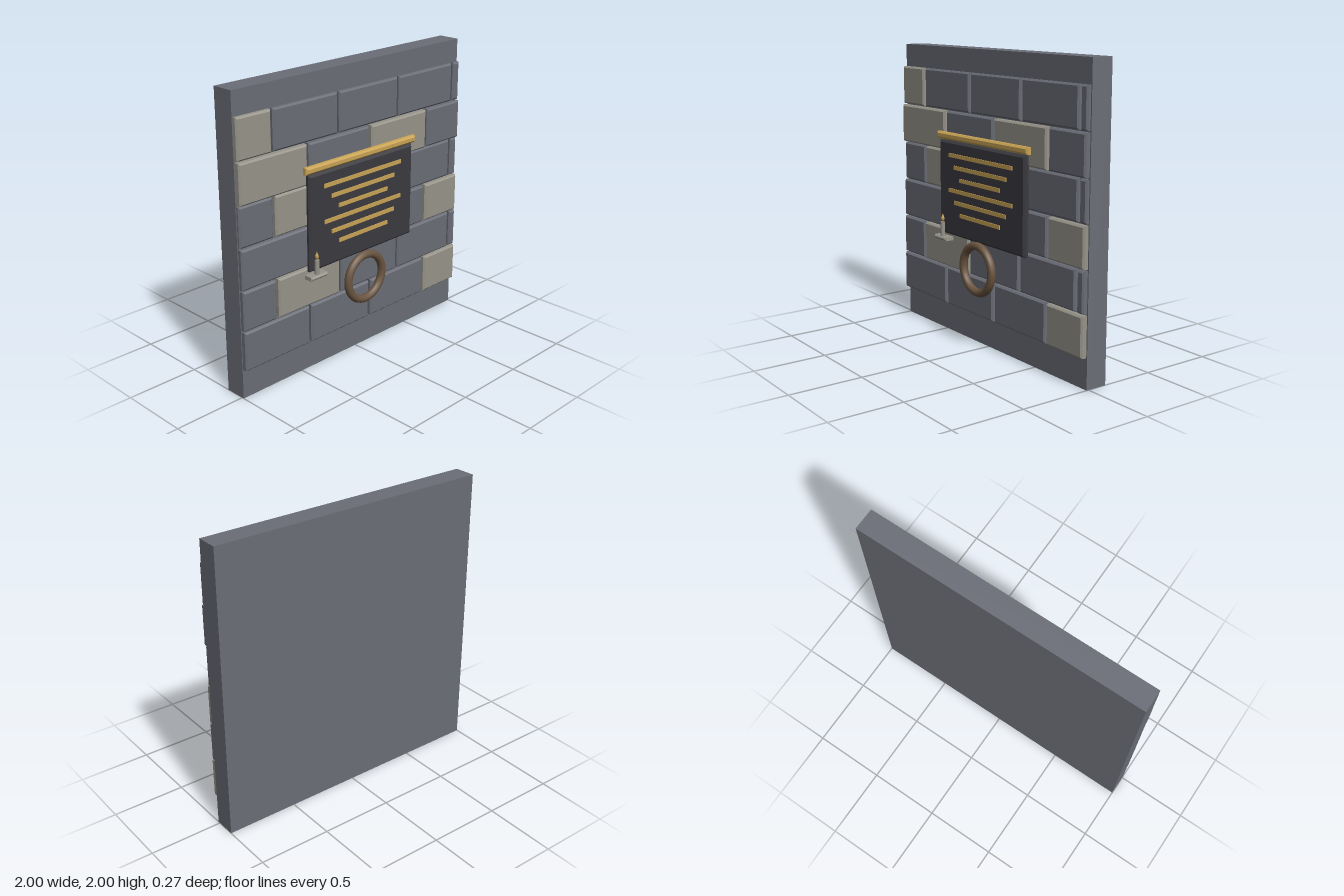
import * as THREE from 'three';

const mat = (name, color) => {
  const m = new THREE.MeshStandardMaterial({ color });
  m.name = name;
  return m;
};

export function createModel() {
  const model = new THREE.Group();
  model.name = 'wallPlaque';
  const stone = mat('blue grey stone', 0x6b6e77);
  const paleStone = mat('pale warm stone', 0x97948a);
  const slate = mat('dark slate', 0x3b3a40);
  const gold = mat('gold', 0xc9a455);
  const wood = mat('brown wood', 0x6b5541);

  const add = (name, geometry, material, x = 0, y = 0, z = 0, parent = model) => {
    const mesh = new THREE.Mesh(geometry, material);
    mesh.name = name;
    mesh.position.set(x, y, z);
    parent.add(mesh);
    return mesh;
  };

  // Box with chamfered edges, given by its limits
  const bevelBox = (name, x0, x1, y0, y1, z0, z1, b, material, parent) => {
    const w = (x1 - x0) / 2 - b, h = (y1 - y0) / 2 - b;
    const shape = new THREE.Shape([
      new THREE.Vector2(-w, -h), new THREE.Vector2(w, -h),
      new THREE.Vector2(w, h), new THREE.Vector2(-w, h),
    ]);
    const geo = new THREE.ExtrudeGeometry(shape, {
      depth: z1 - z0 - 2 * b, bevelEnabled: true, bevelSize: b, bevelThickness: b, bevelSegments: 1,
    });
    return add(name, geo, material, (x0 + x1) / 2, (y0 + y1) / 2, z0 + b, parent);
  };

  // Backing slab
  add('wallSlab', new THREE.BoxGeometry(2, 2, 0.152), stone, 0, 1, -0.06);

  // Brick courses in running bond, bottom to top
  const bricks = new THREE.Group();
  bricks.name = 'bricks';
  model.add(bricks);
  const spans = [
    [[-0.997, -0.457], [-0.44, 0.092], [0.112, 0.642], [0.66, 0.995]],
    [[-0.997, -0.732], [-0.715, -0.183], [-0.167, 0.367], [0.383, 0.917], [0.935, 0.995]],
  ];
  const pale = [[3], [1], [3], [1], [0, 2], [0]];
  const fronts = [0.06, 0.058, 0.055, 0.046, 0.06, 0.05];
  for (let row = 0; row < 6; row++) {
    const y = 0.205 + row * 0.2745;
    spans[row % 2].forEach(([x0, x1], i) => {
      const isPale = pale[row].includes(i);
      bevelBox('brick', x0, x1, y, y + 0.266, 0.008, fronts[row] - (isPale ? 0 : 0.004), 0.011,
        isPale ? paleStone : stone, bricks);
    });
  }

  // Plaque with its top rail
  bevelBox('plaque', -0.475, 0.475, 0.725, 1.375, 0.045, 0.09, 0.015, slate);
  bevelBox('topRail', -0.5, 0.5, 1.382, 1.43, 0.05, 0.095, 0.012, gold);

  // Gold bars on the plaque
  const halfWidths = [0.353, 0.29, 0.225];
  for (let i = 0; i < 6; i++) {
    add('goldBar', new THREE.BoxGeometry(halfWidths[i % 3] * 2, 0.027, 0.009), gold,
      0, 1.281 - i * 0.0805, 0.0925);
  }

  // Hanging ring
  add('ring', new THREE.TorusGeometry(0.159, 0.028, 12, 40), wood, 0, 0.555, 0.11);

  // Candle on a small shelf
  const candle = new THREE.Group();
  candle.name = 'candleShelf';
  model.add(candle);
  bevelBox('shelf', -0.5, -0.355, 0.68, 0.706, 0.05, 0.125, 0.01, paleStone, candle);
  add('candle', new THREE.CylinderGeometry(0.016, 0.016, 0.1, 12), paleStone, -0.428, 0.755, 0.097, candle);
  const flame = new THREE.LatheGeometry([
    new THREE.Vector2(0, -0.027), new THREE.Vector2(0.014, -0.012),
    new THREE.Vector2(0.011, 0.005), new THREE.Vector2(0, 0.03),
  ], 8);
  add('flame', flame, gold, -0.428, 0.832, 0.097, candle);

  return model;
}
